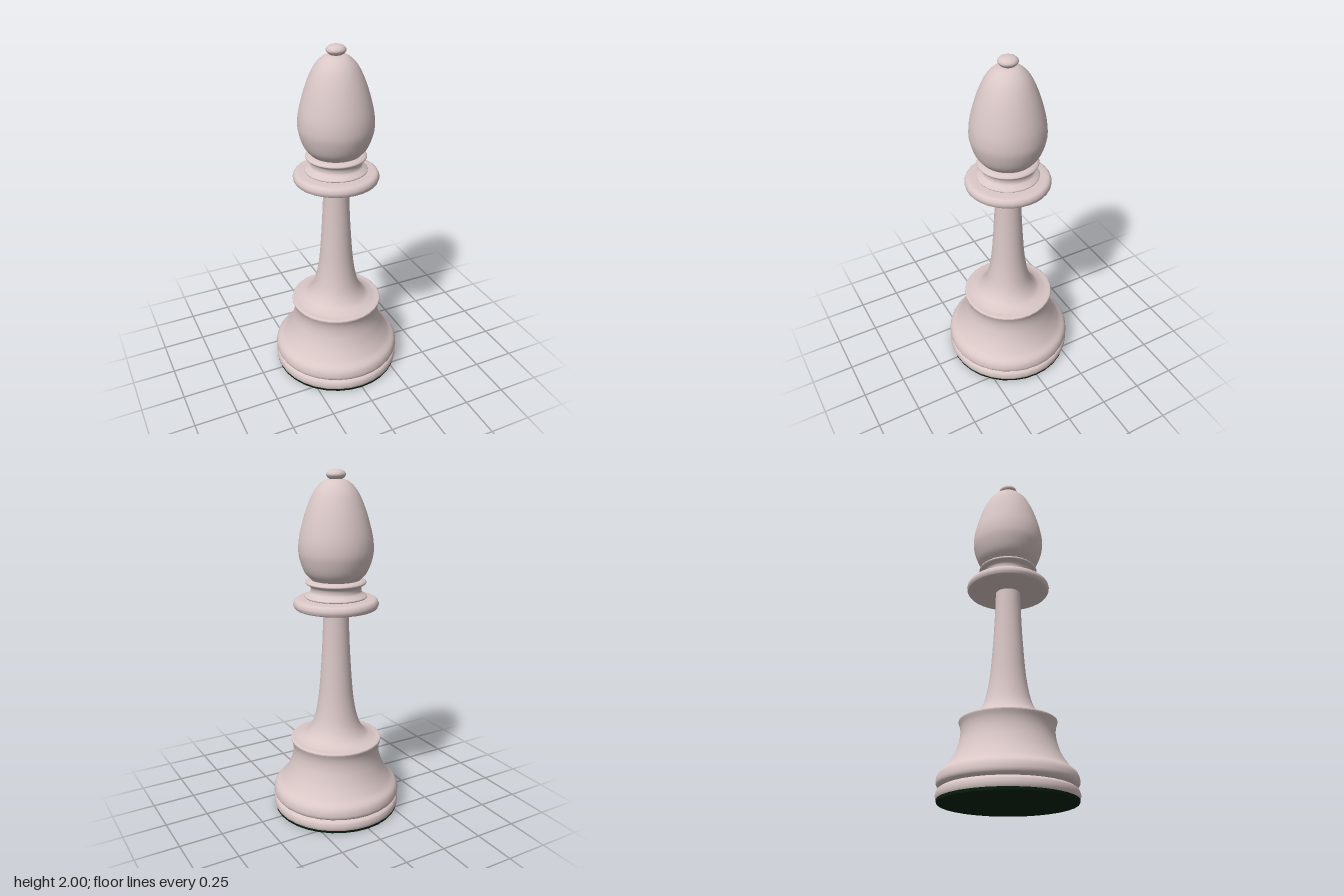
import * as THREE from 'three';

const SIDES = 32;

export function createModel() {
  const group = new THREE.Group();
  const wood = new THREE.MeshStandardMaterial({ color: 0xd9c7c6, side: THREE.DoubleSide });
  const felt = new THREE.MeshStandardMaterial({ color: 0x06210f });

  // Turn a smooth profile of [radius, height] points around the y axis
  function turned(name, points, divisions) {
    const curve = new THREE.SplineCurve(points.map(([r, y]) => new THREE.Vector2(r, y)));
    const profile = curve.getPoints(divisions);
    profile.forEach((p) => { p.x = Math.max(p.x, 0); });
    const mesh = new THREE.Mesh(new THREE.LatheGeometry(profile, SIDES), wood);
    mesh.name = name;
    group.add(mesh);
  }

  // Felt pad under the foot
  const pad = new THREE.Mesh(new THREE.CylinderGeometry(0.375, 0.372, 0.015, SIDES), felt);
  pad.position.y = 0.0075;
  pad.name = 'feltPad';
  group.add(pad);

  // Foot ring, with a groove above it
  turned('footRing', [[0.373, 0.012], [0.378, 0.025], [0.379, 0.042], [0.373, 0.062], [0.355, 0.074]], 16);

  // Bell-shaped base, flaring out again at its rim
  turned('base', [
    [0.355, 0.074], [0.374, 0.088], [0.379, 0.112], [0.368, 0.148], [0.33, 0.185], [0.292, 0.245],
    [0.267, 0.31], [0.258, 0.36], [0.26, 0.4], [0.27, 0.432],
  ], 45);

  // Base shoulder sweeping up into the stem
  turned('stem', [
    [0.27, 0.432], [0.265, 0.443], [0.225, 0.45], [0.175, 0.477], [0.133, 0.55],
    [0.104, 0.69], [0.087, 0.89], [0.077, 1.08], [0.072, 1.235],
  ], 48);

  // Wide collar
  turned('collar', [
    [0.07, 1.23], [0.15, 1.231], [0.225, 1.235], [0.241, 1.25], [0.242, 1.27],
    [0.23, 1.288], [0.2, 1.294], [0.14, 1.296],
  ], 35);

  // Two small beads with a waist between them
  turned('neckBeads', [
    [0.15, 1.295], [0.173, 1.298], [0.177, 1.306], [0.165, 1.315], [0.146, 1.33], [0.143, 1.35],
    [0.15, 1.366], [0.168, 1.376], [0.172, 1.386], [0.16, 1.396], [0.135, 1.402],
  ], 44);

  // Egg-shaped head
  turned('head', [
    [0.135, 1.395], [0.177, 1.445], [0.204, 1.52], [0.21, 1.58], [0.2, 1.66],
    [0.166, 1.78], [0.122, 1.88], [0.072, 1.935], [0.025, 1.95],
  ], 48);

  // Finial button
  turned('finial', [
    [0.025, 1.943], [0.042, 1.953], [0.054, 1.97], [0.046, 1.987], [0.025, 1.997], [0, 2],
  ], 25);

  return group;
}
